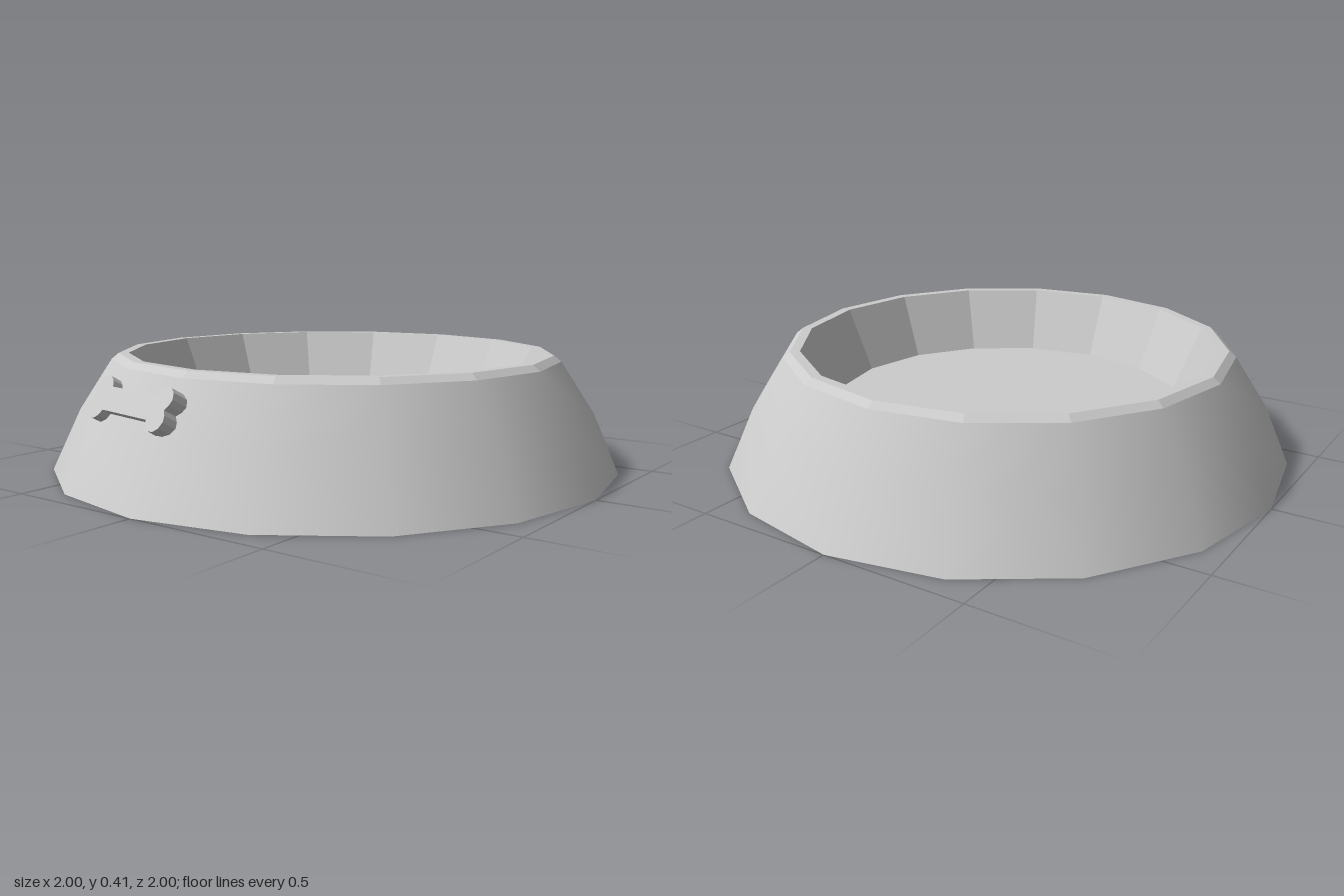
import * as THREE from 'three';
import { mergeVertices } from 'three/addons/utils/BufferGeometryUtils.js';

const SIDES = 16;
const SQUASH = 0.97; // upper rings are slightly shorter front to back

// Turned section: profile of [radius, height, depth scale], smooth or faceted
function turned(name, profile, smooth) {
  let geo = new THREE.LatheGeometry(profile.map(([r, y]) => new THREE.Vector2(r, y)), SIDES);
  const pos = geo.attributes.position;
  for (let i = 0; i < pos.count; i++) {
    pos.setZ(i, pos.getZ(i) * profile[i % profile.length][2]);
  }
  geo.deleteAttribute('normal');
  geo.deleteAttribute('uv');
  geo = smooth ? mergeVertices(geo, 1e-4) : geo.toNonIndexed();
  geo.computeVertexNormals();
  const mesh = new THREE.Mesh(geo, new THREE.MeshStandardMaterial({ color: 0xcccccc, flatShading: !smooth }));
  mesh.name = name;
  return mesh;
}

// Bone outline: one quarter mirrored into all four
function boneShape() {
  const quarter = [
    [0.125, 0.04], [0.137, 0.06], [0.158, 0.073], [0.183, 0.071],
    [0.203, 0.058], [0.213, 0.036], [0.207, 0.016], [0.194, 0],
  ];
  const half = [...quarter, ...quarter.slice(0, -1).reverse().map(([x, y]) => [x, -y])];
  const outline = [...half, ...half.map(([x, y]) => [-x, -y])];
  return new THREE.Shape(outline.map(([x, y]) => new THREE.Vector2(x, y)));
}

export function createModel() {
  const bowl = new THREE.Group();
  bowl.name = 'petBowl';

  // Sloping outer wall
  bowl.add(turned('outerWall', [[1, 0, 1], [0.915, 0.21, SQUASH], [0.8, 0.385, SQUASH]], true));

  // Bevelled rim, inner wall and floor
  bowl.add(turned('rim', [[0.8, 0.385, SQUASH], [0.775, 0.405, SQUASH], [0.74, 0.405, SQUASH]], false));
  bowl.add(turned('innerWall', [[0.74, 0.405, SQUASH], [0.64, 0.18, SQUASH]], false));
  bowl.add(turned('floor', [[0.64, 0.18, SQUASH], [0, 0.18, SQUASH]], false));

  // Foot ring and recessed underside
  bowl.add(turned('underside', [[0, 0.06, 1], [0.86, 0.06, 1], [0.92, 0, 1], [1, 0, 1]], false));

  // Bone ornament lying on one facet of the sloping wall
  const depth = 0.07;
  const boneGeo = new THREE.ExtrudeGeometry(boneShape(), { depth, bevelEnabled: false });
  boneGeo.translate(0, 0, -depth);
  const bone = new THREE.Mesh(boneGeo, new THREE.MeshStandardMaterial({ color: 0xcccccc, flatShading: true }));
  bone.name = 'boneOrnament';
  bone.position.set(0, 0.303, 0.855);
  bone.rotation.x = -Math.PI / 6;
  const boneMount = new THREE.Group();
  boneMount.name = 'boneMount';
  boneMount.rotation.y = -Math.PI / SIDES;
  boneMount.add(bone);
  bowl.add(boneMount);

  return bowl;
}
